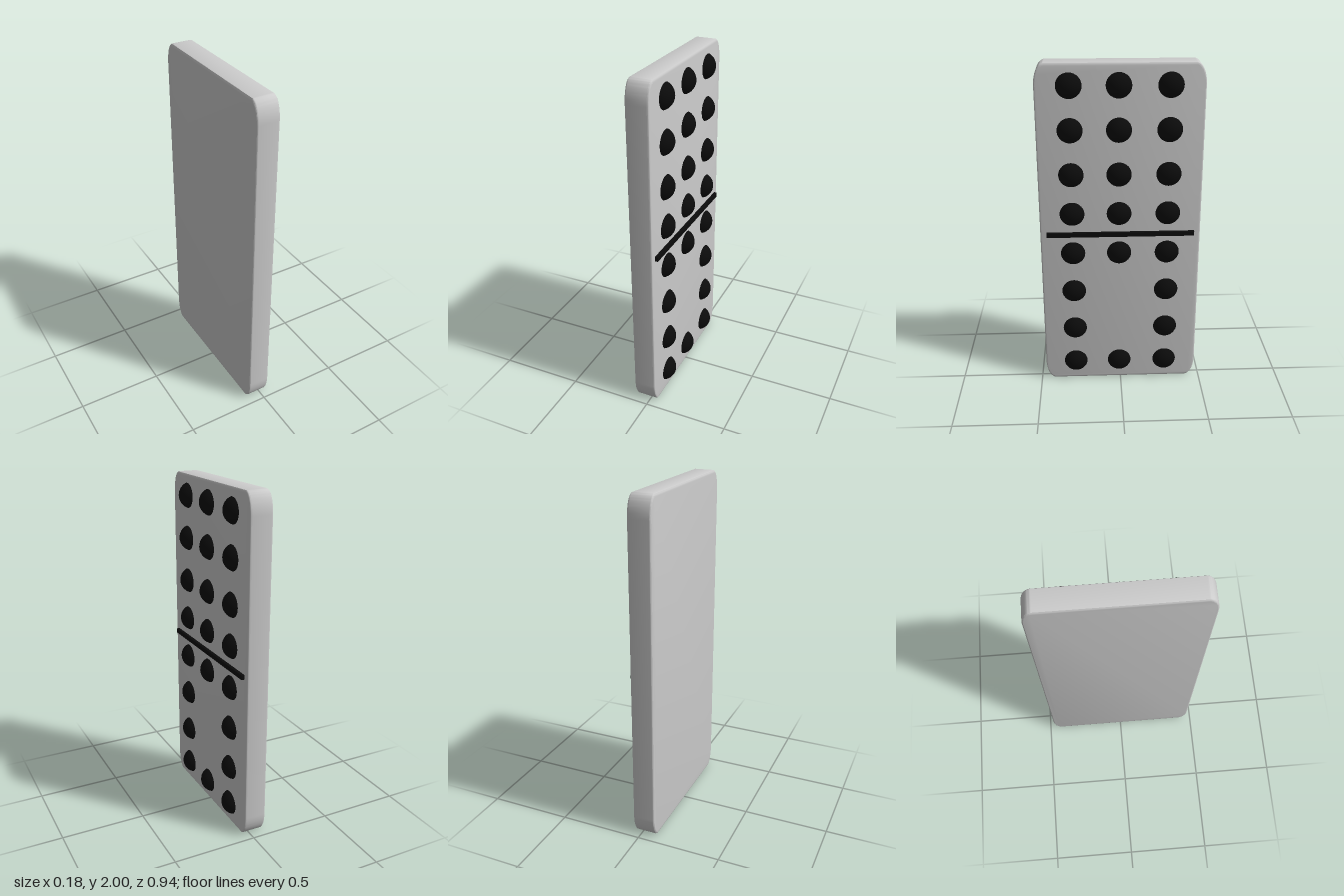
import * as THREE from 'three';
import { toCreasedNormals } from 'three/addons/utils/BufferGeometryUtils.js';

const BACK = -0.09, FACE = 0.042;

// Rounded slab, drawn as a square and squeezed in z so its corners are elliptical
function slabGeometry() {
  const bevel = 0.015, edge = 0.01, h = 1 - bevel, r = 0.125 - bevel;
  const s = new THREE.Shape();
  s.moveTo(-h + r, -h);
  s.absarc(h - r, -h + r, r, -Math.PI / 2, 0);
  s.absarc(h - r, h - r, r, 0, Math.PI / 2);
  s.absarc(-h + r, h - r, r, Math.PI / 2, Math.PI);
  s.absarc(-h + r, -h + r, r, Math.PI, Math.PI * 1.5);
  const geo = new THREE.ExtrudeGeometry(s, {
    depth: FACE - BACK - 2 * edge, curveSegments: 10,
    bevelSize: bevel, bevelThickness: edge, bevelSegments: 3,
  });
  geo.rotateY(Math.PI / 2);
  geo.scale(1, 1, 0.47);
  geo.translate(BACK + edge, 1, 0);
  return toCreasedNormals(geo, 0.6);
}

export function createModel() {
  const model = new THREE.Group();
  const grey = new THREE.MeshStandardMaterial({ color: 0xcccccc });
  const black = new THREE.MeshStandardMaterial({ color: 0x0b0b0b });

  const add = (name, geo, mat, x, y, z) => {
    const mesh = new THREE.Mesh(geo, mat);
    mesh.name = name;
    mesh.position.set(x, y, z);
    model.add(mesh);
  };

  add('tile', slabGeometry(), grey, 0, 0, 0);

  // Divider across the middle of the face
  add('divider', new THREE.BoxGeometry(0.03, 0.027, 0.866), black, 0.045, 1.003, 0);

  // Domed pips: three columns, with two gaps in the lower middle
  const pip = new THREE.SphereGeometry(0.078, 32, 20);
  const rows = [0.128, 0.369, 0.628, 0.88, 1.13, 1.369, 1.628, 1.877];
  const columns = [0.281, 0.008, -0.276];
  rows.forEach((y, i) => columns.forEach((z, j) => {
    if (j === 1 && (i === 1 || i === 2)) return;
    add('pip', pip, black, 0.012, y, z);
  }));

  return model;
}
